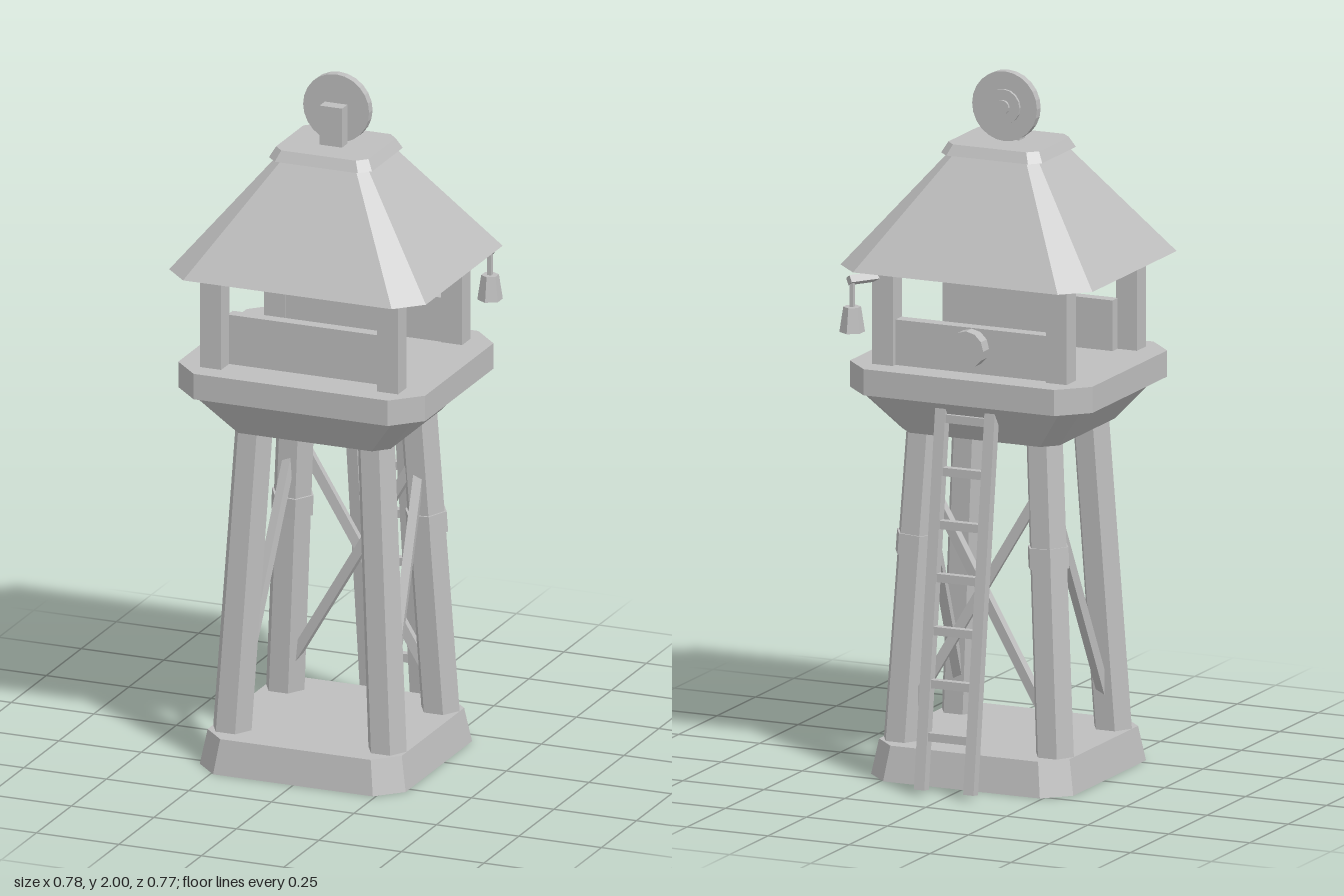
import * as THREE from 'three';

const grey = new THREE.MeshStandardMaterial({ color: 0xbebebe });
grey.name = 'plain grey';
grey.flatShading = true;
const greyOpen = grey.clone();
greyOpen.name = 'plain grey two sided';
greyOpen.side = THREE.DoubleSide;

const CZ = 0.039; // depth centre of the tower

export function createModel() {
  const model = new THREE.Group();
  model.name = 'watchtower';

  const add = (name, geometry, x = 0, y = 0, z = 0, material = grey) => {
    const mesh = new THREE.Mesh(geometry, material);
    mesh.name = name;
    mesh.position.set(x, y, z);
    model.add(mesh);
    return mesh;
  };
  const box = (name, w, h, d, x, y, z) => add(name, new THREE.BoxGeometry(w, h, d), x, y, z);

  // Straight bar between two points: a box, or a prism when sides are given
  const bar = (name, a, b, w, d, sides = 0) => {
    const from = new THREE.Vector3(...a), to = new THREE.Vector3(...b);
    const length = from.distanceTo(to);
    const geometry = sides
      ? new THREE.CylinderGeometry(w, d, length, sides).rotateY(Math.PI / 2)
      : new THREE.BoxGeometry(w, length, d);
    const mesh = add(name, geometry);
    mesh.position.copy(from).add(to).multiplyScalar(0.5);
    mesh.quaternion.setFromUnitVectors(new THREE.Vector3(0, 1, 0), to.sub(from).normalize());
    return mesh;
  };

  // Stack of rectangles with cut corners; each ring is [y, halfX, halfZ, cut]
  const loft = (name, rings, openBottom = false) => {
    const loops = rings.map(([y, hx, hz, c]) => [
      [hx - c, hz], [hx, hz - c], [hx, c - hz], [hx - c, -hz],
      [c - hx, -hz], [-hx, c - hz], [-hx, hz - c], [c - hx, hz],
    ].map(([x, z]) => [x, y, z]));
    const points = [];
    const top = loops[loops.length - 1], bottom = loops[0];
    for (let r = 0; r + 1 < loops.length; r++) {
      for (let i = 0; i < 8; i++) {
        const j = (i + 1) % 8, lo = loops[r], hi = loops[r + 1];
        points.push(lo[i], lo[j], hi[j], lo[i], hi[j], hi[i]);
      }
    }
    for (let i = 1; i < 7; i++) {
      points.push(top[0], top[i], top[i + 1]);
      if (!openBottom) points.push(bottom[0], bottom[i + 1], bottom[i]);
    }
    const geometry = new THREE.BufferGeometry();
    geometry.setAttribute('position', new THREE.Float32BufferAttribute(points.flat(), 3));
    geometry.computeVertexNormals();
    return add(name, geometry, 0, 0, CZ, openBottom ? greyOpen : grey);
  };

  // Foundation, deck and roof
  loft('foundation', [[0, 0.312, 0.307, 0.07], [0.1, 0.294, 0.289, 0.066]], true);
  loft('deckSupport', [[0.985, 0.242, 0.22, 0.04], [1.105, 0.343, 0.3, 0.045]]);
  loft('deck', [[1.105, 0.374, 0.324, 0.08], [1.18, 0.374, 0.324, 0.08]]);
  loft('roof', [[1.46, 0.389, 0.347, 0.073], [1.775, 0.135, 0.12, 0.025]]);
  loft('roofCap', [[1.77, 0.156, 0.14, 0.03], [1.8, 0.14, 0.124, 0.027]]);

  for (const sx of [-1, 1]) {
    for (const sz of [-1, 1]) {
      // Leaning six-sided legs and cabin posts
      const legAt = (y) => {
        const t = (y - 0.1) / 0.885;
        return [sx * (0.235 - 0.05 * t), y, CZ - 0.004 + sz * (0.189 - 0.038 * t)];
      };
      bar('leg', legAt(0.09), legAt(1), 0.056, 0.058, 6);
      if (sz < 0) bar('legCollar', legAt(0.63), legAt(0.69), 0.063, 0.063, 6);
      box('cabinPost', 0.064, 0.29, 0.06, sx * 0.268, 1.32, CZ + 0.004 + sz * 0.229);
    }
    // Braces: a cross at the back, one diagonal on each side
    bar('backBrace', [sx * 0.17, 0.826, -0.125 + sx * 0.012], [-sx * 0.2, 0.2, -0.145 + sx * 0.012], 0.028, 0.024);
    bar('sideBrace', [sx * 0.195, 0.824, -0.1], [sx * 0.225, 0.176, 0.2], 0.026, 0.028);
  }

  // Cabin panels with a round shield on the back one
  box('frontPanel', 0.48, 0.145, 0.036, 0, 1.2525, 0.228);
  box('backPanel', 0.48, 0.13, 0.04, 0, 1.245, -0.18);
  add('shield', new THREE.CylinderGeometry(0.053, 0.053, 0.04, 12).rotateX(Math.PI / 2), 0, 1.255, -0.218);

  // Ladder leaning on the back of the deck
  const ladderZ = (y) => -0.368 + (y - 0.02) * 0.13;
  for (const sx of [-1, 1]) {
    bar('ladderRail', [sx * 0.076, 0.015, ladderZ(0.015)], [sx * 0.076, 1.1, ladderZ(1.1)], 0.032, 0.03);
  }
  for (let i = 0; i < 7; i++) {
    const y = 0.165 + i * 0.148;
    box('ladderRung', 0.15, 0.024, 0.022, 0, y, ladderZ(y));
  }

  // Hanging lantern on the back left post
  bar('lanternArm', [0.28, 1.43, -0.195], [0.34, 1.43, -0.283], 0.022, 0.022);
  bar('lanternRod', [0.333, 1.43, -0.277], [0.333, 1.35, -0.277], 0.012, 0.012);
  add('lantern', new THREE.CylinderGeometry(0.025, 0.036, 0.072, 6), 0.333, 1.318, -0.277);

  // Wheel with its stepped hub and bracket on the roof
  const disc = (name, r, z0, z1, sides) => add(name,
    new THREE.CylinderGeometry(r, r, z1 - z0, sides).rotateX(Math.PI / 2), 0, 1.9, (z0 + z1) / 2);
  disc('wheel', 0.1, 0.0125, 0.0375, 24);
  disc('wheelHub', 0.05, 0.004, 0.014, 16);
  disc('wheelAxle', 0.02, -0.004, 0.005, 12);
  box('wheelBracket', 0.068, 0.12, 0.038, 0, 1.855, 0.056);

  return model;
}
